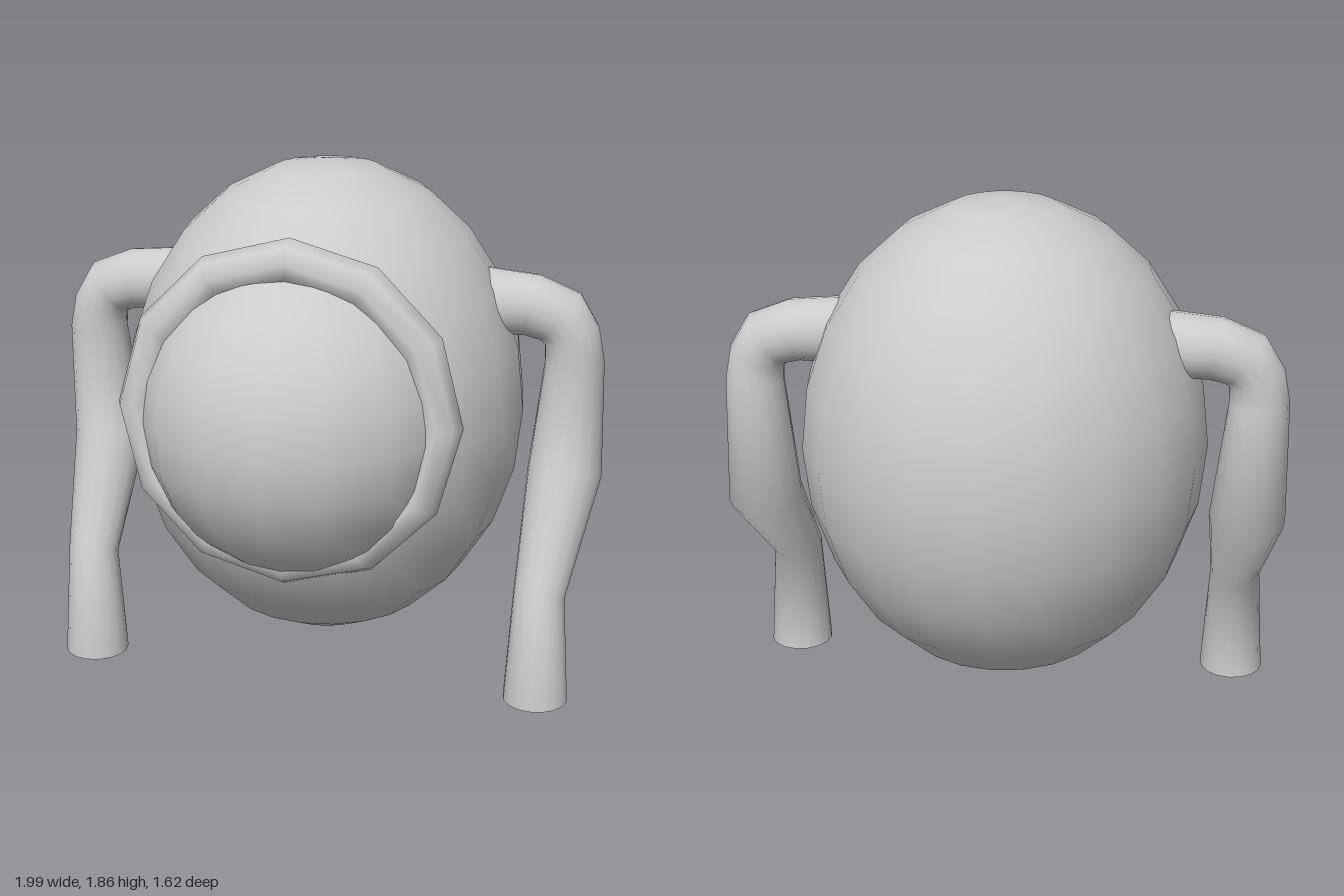
import * as THREE from 'three';

const material = new THREE.MeshStandardMaterial({ color: 0xcccccc });

function part(name, geometry, x, y, z) {
  const mesh = new THREE.Mesh(geometry, material);
  mesh.name = name;
  mesh.position.set(x, y, z);
  return mesh;
}

// Lofts round cross-sections [x, y, z, radius] along a bent path.
function limbGeometry(sections, sides = 16) {
  const centers = sections.map(([x, y, z]) => new THREE.Vector3(x, y, z));
  const last = centers.length - 1;
  const positions = [], indices = [];
  centers.forEach((c, i) => {
    // Each ring lies on the mitre plane between its two segments
    const t = new THREE.Vector3();
    if (i > 0) t.add(c.clone().sub(centers[i - 1]).normalize());
    if (i < last) t.add(centers[i + 1].clone().sub(c).normalize());
    t.normalize();
    const u = new THREE.Vector3(0, 0, 1).addScaledVector(t, -t.z).normalize();
    const v = t.clone().cross(u);
    for (let j = 0; j < sides; j++) {
      const a = (j / sides) * Math.PI * 2;
      const p = c.clone()
        .addScaledVector(u, Math.cos(a) * sections[i][3])
        .addScaledVector(v, Math.sin(a) * sections[i][3]);
      positions.push(p.x, p.y, p.z);
      if (i < last) {
        const k = (j + 1) % sides, r = i * sides, n = r + sides;
        indices.push(r + j, r + k, n + j, r + k, n + k, n + j);
      }
    }
  });
  const geometry = new THREE.BufferGeometry();
  geometry.setAttribute('position', new THREE.Float32BufferAttribute(positions, 3));
  geometry.setIndex(indices);
  geometry.computeVertexNormals();
  return geometry;
}

// Shoulder, elbow bend, knee, ankle and foot of one leg
const legPath = [
  [0.50, 1.38, -0.13, 0.12],
  [0.73, 1.37, -0.13, 0.11],
  [0.83, 1.335, -0.13, 0.108],
  [0.872, 1.27, -0.13, 0.1],
  [0.885, 1.18, -0.13, 0.104],
  [0.863, 0.755, -0.155, 0.133],
  [0.83, 0.40, 0.155, 0.09],
  [0.83, 0, 0.155, 0.115],
];

export function createModel() {
  const model = new THREE.Group();
  model.name = 'walkingEye';

  // Egg-shaped body
  const bodyGeometry = new THREE.SphereGeometry(1, 20, 12).scale(0.715, 0.865, 0.72);
  model.add(part('body', bodyGeometry, 0, 0.995, -0.09));

  // Bulging eye and its slightly tilted rim
  model.add(part('eye', new THREE.SphereGeometry(0.57, 16, 12), 0, 1.04, 0.24));
  const rim = part('eyeRim', new THREE.TorusGeometry(0.52, 0.08, 8, 12), 0, 1.09, 0.44);
  rim.rotation.x = -0.06;
  model.add(rim);

  // Legs with flat soles
  for (const [name, side] of [['left', 1], ['right', -1]]) {
    const leg = new THREE.Group();
    leg.name = name + 'Leg';
    const path = legPath.map(([x, y, z, r]) => [side * x, y, z, r]);
    leg.add(part(name + 'Limb', limbGeometry(path), 0, 0, 0));
    const sole = part(name + 'Sole', new THREE.CircleGeometry(0.115, 16), side * 0.83, 0, 0.155);
    sole.rotation.x = Math.PI / 2;
    leg.add(sole);
    model.add(leg);
  }
  return model;
}
